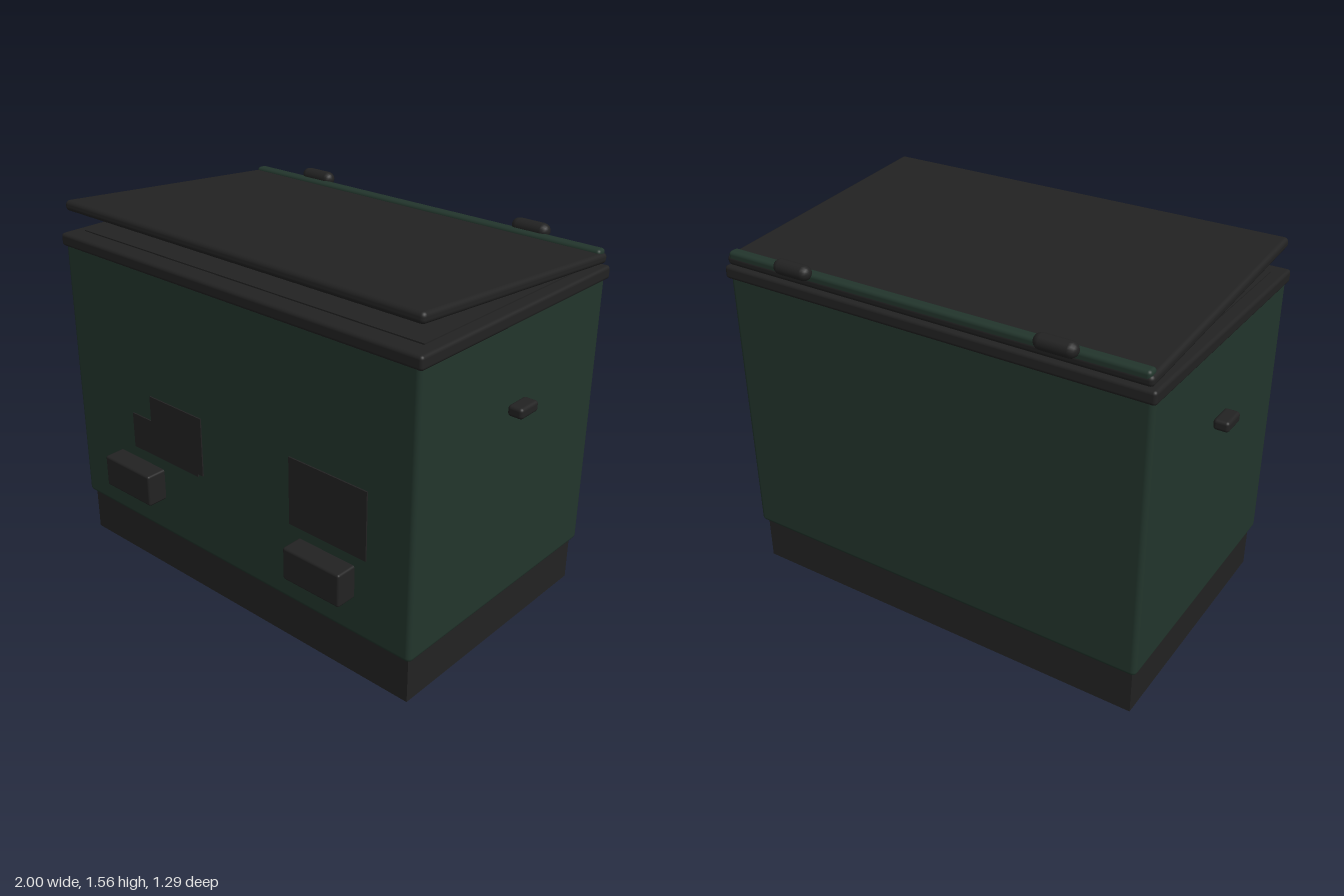
import * as THREE from 'three';
import { RoundedBoxGeometry } from 'three/addons/geometries/RoundedBoxGeometry.js';

const green = new THREE.MeshStandardMaterial({ color: 0x22352c });
green.name = 'dark green';
const black = new THREE.MeshStandardMaterial({ color: 0x222222 });
black.name = 'charcoal';

export function createModel() {
  const model = new THREE.Group();
  model.name = 'storageChest';

  const add = (name, geometry, material, x = 0, y = 0, z = 0) => {
    const mesh = new THREE.Mesh(geometry, material);
    mesh.name = name;
    mesh.position.set(x, y, z);
    model.add(mesh);
    return mesh;
  };

  // Box given by its limits on each axis; radius 0 keeps the edges sharp
  const box = (name, material, [x0, x1], [y0, y1], [z0, z1], radius = 0) => {
    const size = [x1 - x0, y1 - y0, z1 - z0];
    const geometry = radius ? new RoundedBoxGeometry(...size, 3, radius) : new THREE.BoxGeometry(...size);
    return add(name, geometry, material, (x0 + x1) / 2, (y0 + y1) / 2, (z0 + z1) / 2);
  };

  // Plinth, cabinet and top rim
  box('plinth', black, [-0.913, 0.913], [0, 0.21], [-0.573, 0.533]);
  box('cabinet', green, [-0.935, 0.935], [0.195, 1.39], [-0.596, 0.556], 0.022);
  box('rim', black, [-0.946, 0.946], [1.37, 1.425], [-0.61, 0.567], 0.014);
  box('innerPanel', black, [-0.89, 0.89], [1.4, 1.43], [-0.585, 0.485]);

  // Lid, propped slightly open at the front
  const lid = add('lid', new RoundedBoxGeometry(1.86, 0.044, 1.155, 3, 0.018), black, 0, 1.496, -0.03);
  lid.rotation.x = -0.079;

  // Hinge rail along the back edge of the lid
  box('hingeRail', green, [-0.92, 0.92], [1.448, 1.49], [-0.605, -0.555], 0.015);

  for (const side of [-1, 1]) {
    // Hinge barrels
    const hinge = add('hinge', new THREE.CapsuleGeometry(0.031, 0.11, 4, 16), black, side * 0.575, 1.494, -0.613);
    hinge.rotation.z = Math.PI / 2;

    // Side handles
    const inner = side * 0.935, outer = side * 1.0;
    box('sideHandle', black, [Math.min(inner, outer), Math.max(inner, outer)], [1.015, 1.06], [-0.078, 0.034], 0.014);

    // Projecting blocks on the front
    const cx = side * 0.528;
    box('frontBlock', black, [cx - 0.141, cx + 0.141], [0.364, 0.506], [0.54, 0.645], 0.01);
  }

  // Thin plates on the front: a plain one and a stepped one
  box('plainPlate', black, [0.345, 0.725], [0.553, 0.843], [0.554, 0.562]);
  const outline = [
    [-0.563, 0.559], [-0.167, 0.559], [-0.167, 0.572], [-0.138, 0.572],
    [-0.138, 0.832], [-0.445, 0.832], [-0.445, 0.718], [-0.563, 0.718],
  ].map(([x, y]) => new THREE.Vector2(x, y));
  const plate = new THREE.ExtrudeGeometry(new THREE.Shape(outline), { depth: 0.008, bevelEnabled: false });
  add('steppedPlate', plate, black, 0, 0, 0.554);

  return model;
}
